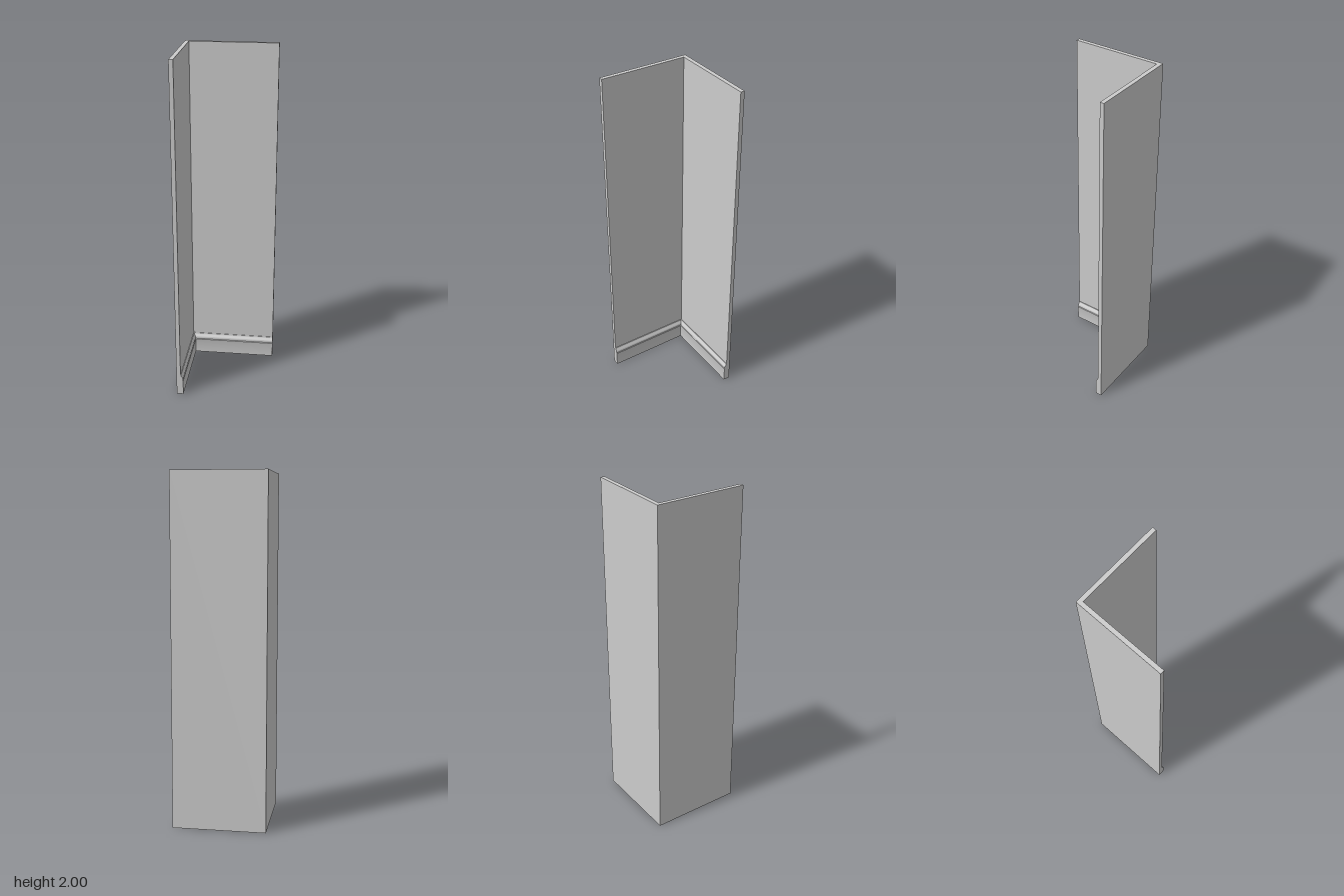
import * as THREE from 'three';
import { toCreasedNormals } from 'three/addons/utils/BufferGeometryUtils.js';

const HALF = 0.267;        // half the outer width
const INNER = -0.243;      // inner wall face
const HEIGHT = 2;

// Skirting cross-section: [distance from wall, height]
const PROFILE = [
  [0, 0], [0.015, 0], [0.015, 0.09], [0.0125, 0.0935], [0.0135, 0.097], [0.0145, 0.101],
  [0.0138, 0.106], [0.0115, 0.111], [0.008, 0.1155], [0.005, 0.12], [0.0035, 0.126], [0.003, 0.13], [0, 0.13],
];

// One skirting run; side = 1 runs along z, side = -1 runs along x
function skirtingGeometry(side) {
  const shape = new THREE.Shape(PROFILE.map(([d, y]) => new THREE.Vector2(d * side, y)));
  const geo = new THREE.ExtrudeGeometry(shape, { depth: HALF - INNER, bevelEnabled: false });
  // Mitre the corner end at 45 degrees
  const pos = geo.attributes.position;
  for (let i = 0; i < pos.count; i++) {
    if (pos.getZ(i) < 1e-6) pos.setZ(i, Math.abs(pos.getX(i)));
  }
  if (side < 0) geo.rotateY(Math.PI / 2);
  geo.translate(INNER, 0, INNER);
  return toCreasedNormals(geo, 0.6);
}

export function createModel() {
  const group = new THREE.Group();
  group.name = 'wallCorner';
  const material = new THREE.MeshStandardMaterial({ color: 0xcccccc });
  const add = (name, geometry) => {
    const mesh = new THREE.Mesh(geometry, material);
    mesh.name = name;
    group.add(mesh);
  };

  // L-shaped wall, drawn in plan (shape y = -z) and raised
  const plan = new THREE.Shape([
    [-HALF, HALF], [-HALF, -HALF], [INNER, -HALF], [INNER, -INNER], [HALF, -INNER], [HALF, HALF],
  ].map(([x, y]) => new THREE.Vector2(x, y)));
  const walls = new THREE.ExtrudeGeometry(plan, { depth: HEIGHT, bevelEnabled: false });
  walls.rotateX(-Math.PI / 2);
  add('walls', walls);

  // Mitred skirting boards
  add('sideSkirting', skirtingGeometry(1));
  add('backSkirting', skirtingGeometry(-1));
  return group;
}
